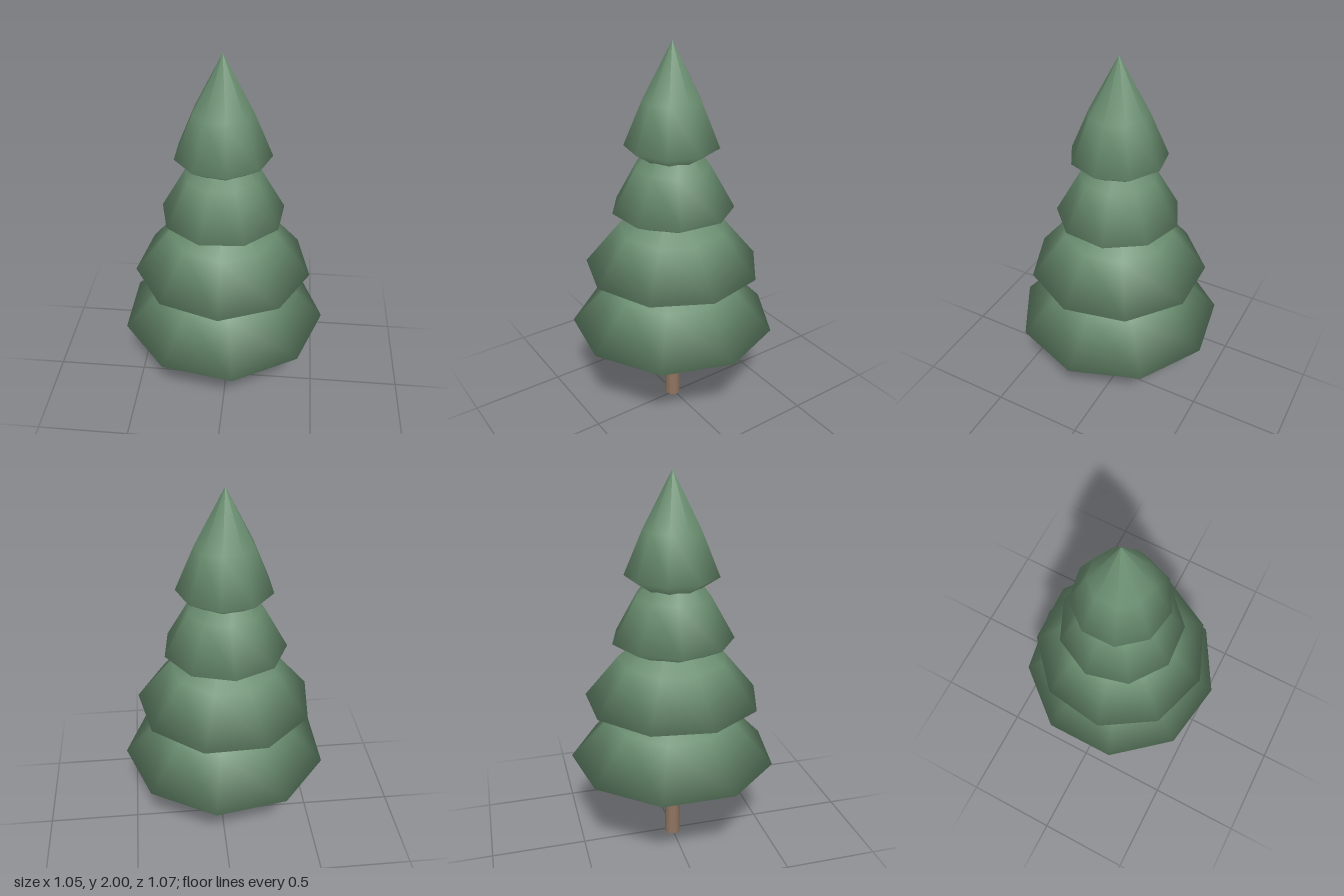
import * as THREE from 'three';

const SIDES = 9;
const AXIS_X = -0.016;

// Each tier: rim radius, rim height, tip height, twist in degrees
const TIERS = [
  { radius: 0.541, rim: 0.51, tip: 0.97, twist: 0 },
  { radius: 0.46, rim: 0.84, tip: 1.3, twist: -8 },
  { radius: 0.315, rim: 1.17, tip: 1.64, twist: 14 },
  { radius: 0.24, rim: 1.5, tip: 2.0, twist: 0 },
];

// Smooth nine-sided skirt: open underside, wide rim, shoulder, pointed tip
function foliageTier({ radius, rim, tip, twist }, material) {
  const profile = [
    [radius * 0.255, rim - 0.12],
    [radius, rim],
    [radius * 0.61, rim + 0.22],
    [0, tip],
  ].map(([r, y]) => new THREE.Vector2(r, y));
  const geometry = new THREE.LatheGeometry(profile, SIDES);
  geometry.rotateY(Math.PI / 2 + THREE.MathUtils.degToRad(twist));
  return new THREE.Mesh(geometry, material);
}

export function createModel() {
  const leafGreen = new THREE.MeshStandardMaterial({ color: 0x6b8f71, side: THREE.DoubleSide });
  leafGreen.name = 'leafGreen';
  const barkBrown = new THREE.MeshStandardMaterial({ color: 0x8f7460 });
  barkBrown.name = 'barkBrown';

  const tree = new THREE.Group();
  tree.name = 'pineTree';

  // Slightly tapered trunk reaching into the lowest tier
  const trunk = new THREE.Mesh(new THREE.CylinderGeometry(0.032, 0.043, 0.6, SIDES), barkBrown);
  trunk.name = 'trunk';
  trunk.position.set(AXIS_X, 0.3, 0);
  tree.add(trunk);

  // Stacked foliage
  TIERS.forEach((tier, i) => {
    const mesh = foliageTier(tier, leafGreen);
    mesh.name = `foliageTier${i + 1}`;
    mesh.position.x = AXIS_X;
    tree.add(mesh);
  });

  return tree;
}
